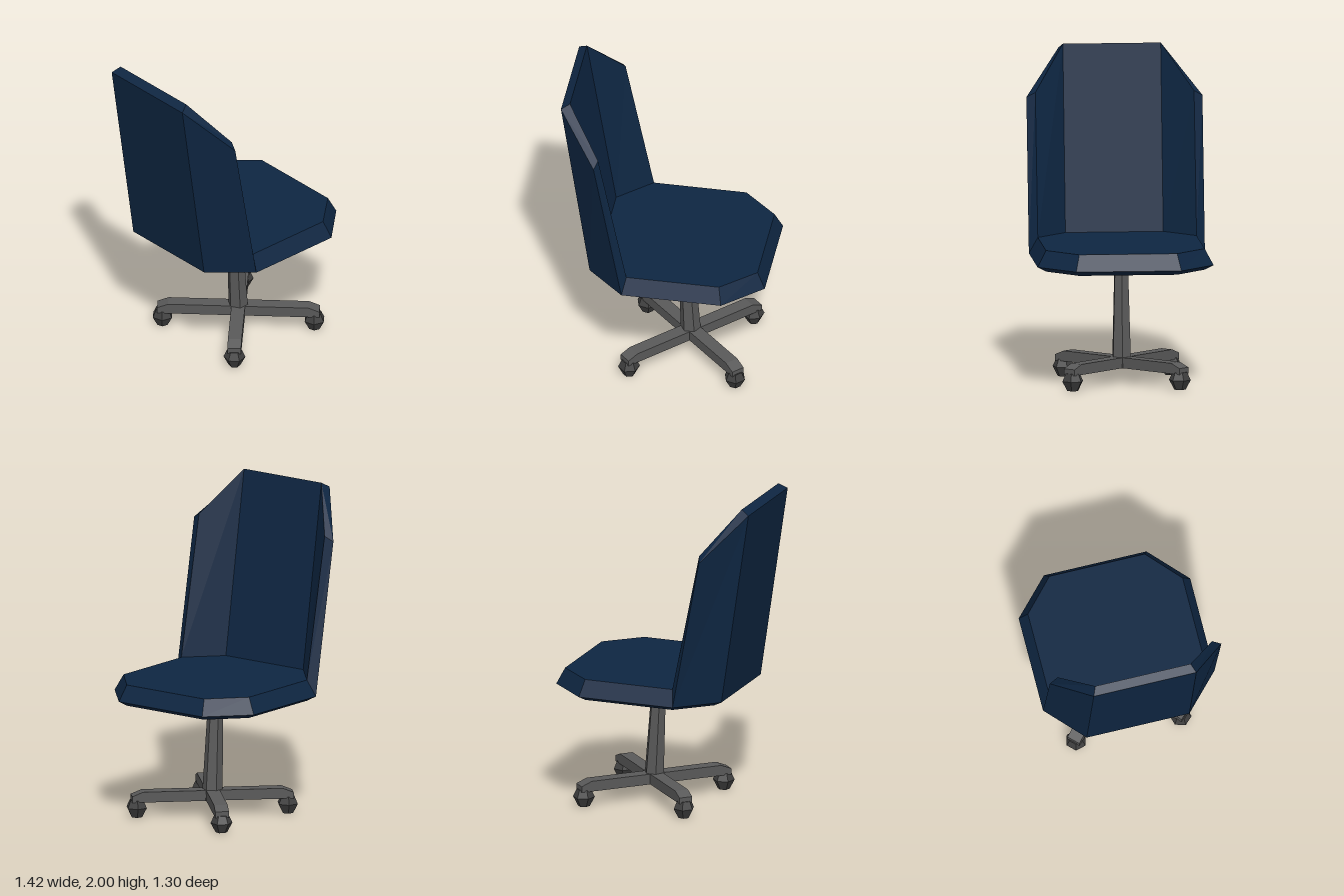
import * as THREE from 'three';

const flat = (color, name) => {
  const m = new THREE.MeshStandardMaterial({ color, flatShading: true });
  m.name = name;
  return m;
};

// Convex polygons (counter-clockwise from outside) to a faceted geometry
function fromPolygons(polys) {
  const pos = [];
  for (const p of polys)
    for (let i = 1; i < p.length - 1; i++) pos.push(...p[0], ...p[i], ...p[i + 1]);
  const g = new THREE.BufferGeometry();
  g.setAttribute('position', new THREE.Float32BufferAttribute(pos, 3));
  g.computeVertexNormals();
  return g;
}

// Octagonal seat ring; rear corners first
function ring(y, cornerX, endX, sideZ, endZ, rearCornerX, rearX) {
  return [
    [rearCornerX, y, -sideZ], [rearX, y, -endZ], [rearX, y, endZ], [rearCornerX, y, sideZ],
    [cornerX, y, sideZ], [endX, y, endZ], [endX, y, -endZ], [cornerX, y, -sideZ],
  ];
}

const band = (lo, hi, i) => {
  const j = (i + 1) % lo.length;
  return [lo[i], lo[j], hi[j], hi[i]];
};

export function createModel() {
  const blue = flat(0x0e2642, 'navy upholstery');
  const grey = flat(0x595959, 'grey metal');
  const dark = flat(0x3f3f3f, 'dark castors');

  const model = new THREE.Group();
  model.name = 'swivelChair';
  model.rotation.y = 0.388;
  const add = (name, geometry, material, parent = model) => {
    const m = new THREE.Mesh(geometry, material);
    m.name = name;
    parent.add(m);
    return m;
  };

  // Seat cushion: bevelled octagon
  const bottom = ring(0.73, 0.376, 0.583, 0.487, 0.3, -0.198, -0.4);
  const middle = ring(0.76, 0.397, 0.632, 0.54, 0.323, -0.22, -0.455);
  const top = ring(0.86, 0.376, 0.583, 0.487, 0.3, -0.198, -0.4);
  const seat = [top];
  for (let i = 0; i < 8; i++) {
    seat.push(band(bottom, middle, i));
    if (i > 2) seat.push(band(middle, top, i));
  }
  add('seat', fromPolygons(seat), blue);
  add('seatUnderside', fromPolygons([[...bottom].reverse()]), grey);

  // Backrest: leaning wrap-around shell rising from the rear corners
  const raise = (pts, shift, sideY, midY) =>
    pts.slice(0, 4).map(([x, , z], i) => {
      const side = i === 0 || i === 3;
      return [x - (side ? shift - 0.005 : shift), side ? sideY : midY, z];
    });
  const outerTop = raise(middle, 0.178, 1.7, 1.97);
  const innerTop = raise(top, 0.181, 1.73, 2.0);
  const back = [];
  for (let i = 0; i < 3; i++) {
    back.push(band(middle, outerTop, i).map((p, k, a) => (k < 2 ? middle[i + k] : a[k])));
    back.push([top[i + 1], top[i], innerTop[i], innerTop[i + 1]]);
    back.push(band(outerTop, innerTop, i));
  }
  back.push([middle[3], top[3], innerTop[3], outerTop[3]]);
  back.push([top[0], middle[0], outerTop[0], innerTop[0]]);
  add('backrest', fromPolygons(back), blue);

  // Tapered hexagonal column, leaning slightly to the seat centre
  const column = new THREE.CylinderGeometry(0.046, 0.064, 0.63, 6, 1);
  column.rotateY(Math.PI / 6 + Math.PI / 3);
  column.translate(0, 0.415, 0);
  const p = column.attributes.position;
  for (let i = 0; i < p.count; i++) p.setX(i, p.getX(i) - (p.getY(i) > 0.4 ? 0.034 : 0));
  const base = new THREE.Group();
  base.name = 'base';
  base.position.x = 0.119;
  model.add(base);
  add('column', column, grey, base);

  // Two crossed beams with chamfered ends
  const profile = new THREE.Shape([
    [-0.497, 0.1], [0.497, 0.1], [0.497, 0.138], [0.43, 0.165], [-0.43, 0.165], [-0.497, 0.138],
  ].map(([x, y]) => new THREE.Vector2(x, y)));
  const beam = new THREE.ExtrudeGeometry(profile, { depth: 0.084, bevelEnabled: false });
  beam.translate(0, 0, -0.042);

  // Faceted castors, one under each beam end
  const castor = new THREE.LatheGeometry(
    [[0, 0.003], [0.036, 0.003], [0.067, 0.062], [0.045, 0.11], [0, 0.11]]
      .map(([r, y]) => new THREE.Vector2(r, y)), 6);

  for (let i = 0; i < 4; i++) {
    const a = Math.PI / 4 + (i * Math.PI) / 2;
    if (i < 2) add('crossBeam', beam, grey, base).rotation.y = a;
    const c = add('castor', castor, dark, base);
    c.position.set(0.465 * Math.cos(a), 0, -0.465 * Math.sin(a));
    c.rotation.y = a;
  }
  return model;
}
